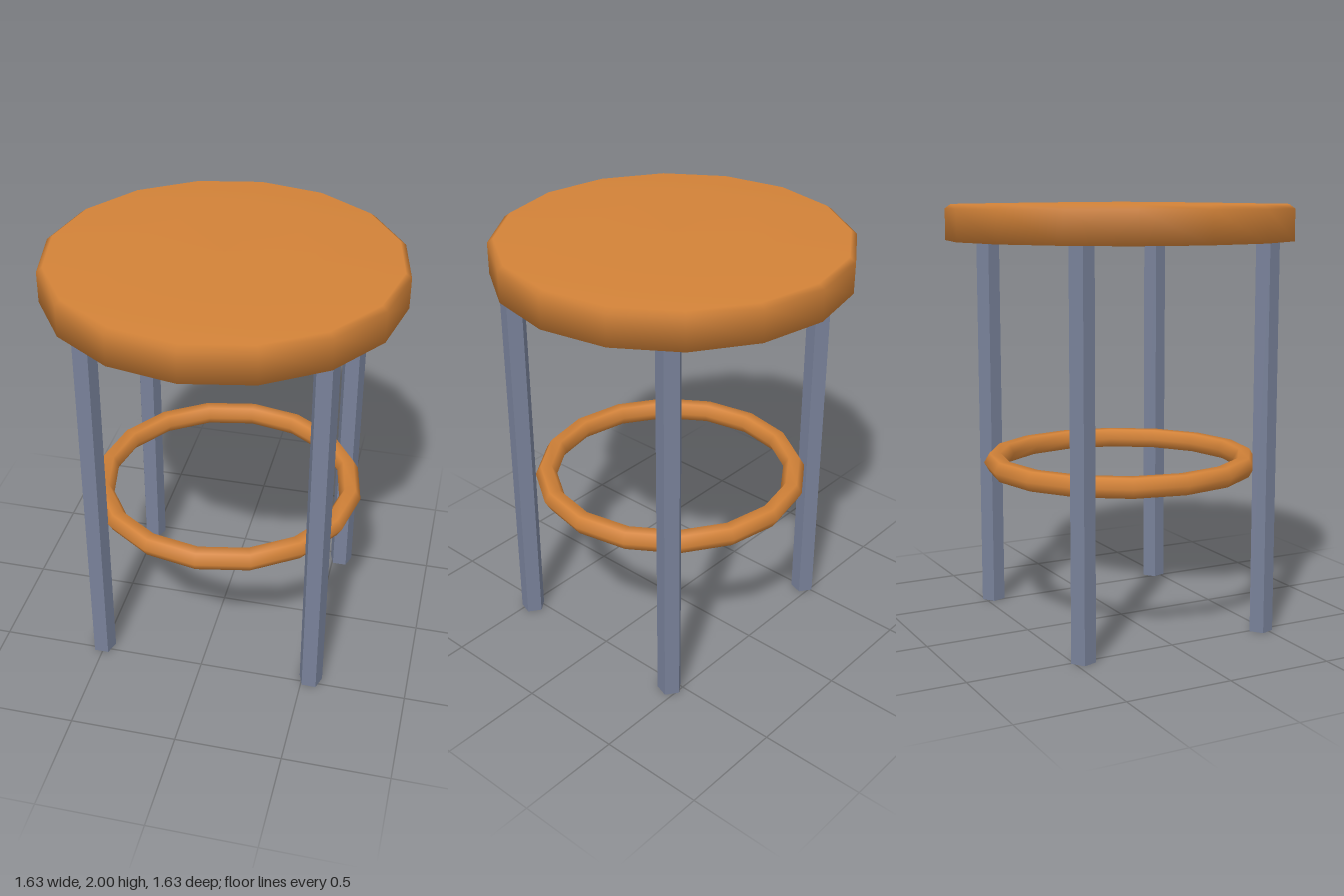
import * as THREE from 'three';

export function createModel() {
  const model = new THREE.Group();
  model.name = 'stool';

  const wood = new THREE.MeshStandardMaterial({ color: 0xd28238 });
  wood.name = 'orange wood';
  const metal = new THREE.MeshStandardMaterial({ color: 0x788199, flatShading: true });
  metal.name = 'blue grey metal';

  const add = (name, geometry, material, x = 0, y = 0, z = 0) => {
    const mesh = new THREE.Mesh(geometry, material);
    mesh.name = name;
    mesh.position.set(x, y, z);
    model.add(mesh);
  };

  // Round seat: sixteen sides, softened rim, barely domed top
  const profile = [
    [0, 1.82], [0.7, 1.82], [0.817, 1.825], [0.817, 1.97], [0.79, 1.99], [0.4, 1.996], [0, 2],
  ].map(([r, y]) => new THREE.Vector2(r, y));
  add('seat', new THREE.LatheGeometry(profile, 16), wood);

  // Four five-sided legs, each with a flat side to the front
  const legHeight = 1.825;
  const legGeometry = new THREE.CylinderGeometry(0.058, 0.058, legHeight, 5);
  legGeometry.rotateY(Math.PI);
  for (const [side, x] of [['Right', -0.505], ['Left', 0.54]]) {
    for (const [end, z] of [['front', 0.477], ['back', -0.455]]) {
      add(`${end}${side}Leg`, legGeometry, metal, x, legHeight / 2, z);
    }
  }

  // Foot ring held between the legs
  const ringGeometry = new THREE.TorusGeometry(0.603, 0.052, 6, 16);
  ringGeometry.rotateX(Math.PI / 2);
  add('footRing', ringGeometry, wood, 0.015, 0.77, 0.004);

  return model;
}
